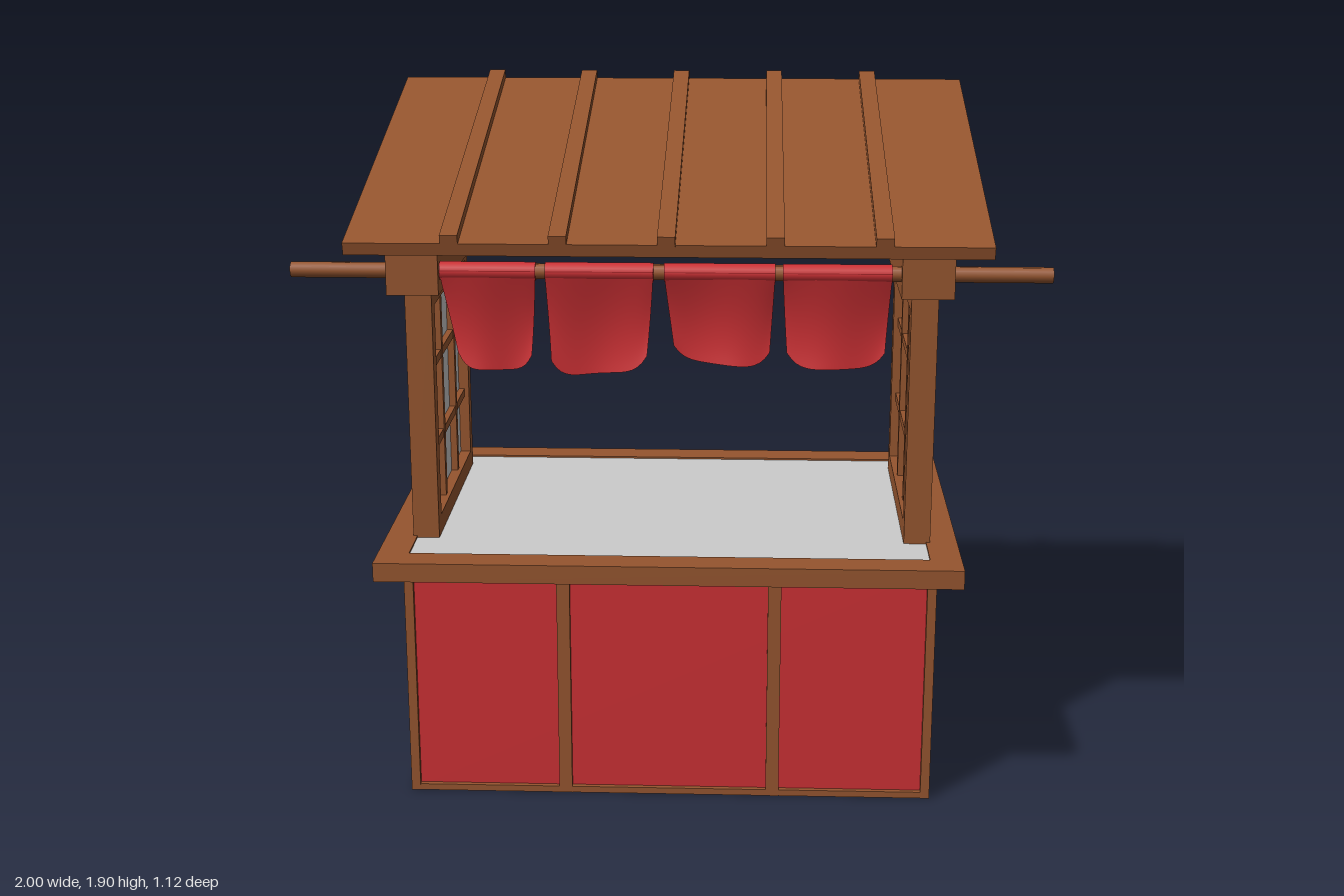
import * as THREE from 'three';

const wood = new THREE.MeshStandardMaterial({ color: 0x95552f });
const red = new THREE.MeshStandardMaterial({ color: 0xcb3034 });
const cloth = new THREE.MeshStandardMaterial({ color: 0xcb3034, side: THREE.DoubleSide });
const grey = new THREE.MeshStandardMaterial({ color: 0xcccccc });

// Box given by its limits on each axis
function box(parent, name, material, [x0, x1], [y0, y1], [z0, z1]) {
  const mesh = new THREE.Mesh(new THREE.BoxGeometry(x1 - x0, y1 - y0, z1 - z0), material);
  mesh.position.set((x0 + x1) / 2, (y0 + y1) / 2, (z0 + z1) / 2);
  mesh.name = name;
  parent.add(mesh);
  return mesh;
}

function group(parent, name) {
  const g = new THREE.Group();
  g.name = name;
  parent.add(g);
  return g;
}

function rod(parent, name, material, radius, x0, x1, sides) {
  const geometry = new THREE.CylinderGeometry(radius, radius, x1 - x0, sides);
  geometry.rotateZ(Math.PI / 2);
  const mesh = new THREE.Mesh(geometry, material);
  mesh.position.set((x0 + x1) / 2, 1.48, 0.383);
  mesh.name = name;
  parent.add(mesh);
}

// Red cabinet with a thin wooden frame
function buildBase(parent) {
  const g = group(parent, 'base');
  const X = 0.725, F = 0.435, B = -0.455, H = 0.67, w = 0.025;
  box(g, 'cabinet', red, [-X + 0.015, X - 0.015], [0.002, H], [B + 0.015, F - 0.015]);
  for (const x of [-X, X - w])
    for (const z of [B, F - w]) box(g, 'cornerTrim', wood, [x, x + w], [0, H], [z, z + w]);
  for (const [y0, y1] of [[0, 0.018], [H - 0.018, H]]) {
    for (const z of [B, F - 0.018]) box(g, 'longTrim', wood, [-X, X], [y0, y1], [z + 0.001, z + 0.017]);
    for (const x of [-X, X - 0.018]) box(g, 'sideTrim', wood, [x + 0.001, x + 0.017], [y0, y1], [B, F]);
  }
  for (const x of [-0.29, 0.287])
    for (const z of [B, F - 0.02]) box(g, 'divider', wood, [x - 0.018, x + 0.018], [0, H], [z, z + 0.02]);
}

// Wooden rim around a grey worktop
function buildCounter(parent) {
  const g = group(parent, 'counter');
  const X = 0.785, F = 0.56, B = -0.51, w = 0.085, y = [0.67, 0.722];
  box(g, 'rimFront', wood, [-X, X], y, [F - w, F]);
  box(g, 'rimBack', wood, [-X, X], y, [B, B + w]);
  for (const x of [-X, X - w]) box(g, 'rimSide', wood, [x, x + w], y, [B + w, F - w]);
  box(g, 'worktop', grey, [-X + w, X - w], [0.672, 0.717], [B + w, F - w]);
}

// Lattice window wall with its beam and roof supports; s is the side
function buildSideWall(parent, s) {
  const g = group(parent, s > 0 ? 'leftWall' : 'rightWall');
  const cx = s * 0.675;
  const across = (h) => [cx - h, cx + h];
  box(g, 'frontPost', wood, across(0.036), [0.715, 1.43], [0.285, 0.335]);
  box(g, 'backPost', wood, across(0.036), [0.715, 1.43], [-0.355, -0.31]);
  box(g, 'bottomRail', wood, across(0.036), [0.715, 0.77], [-0.31, 0.285]);
  box(g, 'topRail', wood, across(0.036), [1.365, 1.43], [-0.31, 0.285]);
  for (const z of [0.107, -0.128]) box(g, 'uprightBar', wood, across(0.025), [0.77, 1.365], [z - 0.013, z + 0.013]);
  for (const y of [0.956, 1.187]) box(g, 'crossBar', wood, across(0.023), [y - 0.012, y + 0.012], [-0.31, 0.285]);
  box(g, 'pane', grey, across(0.006), [0.77, 1.365], [-0.31, 0.285]);
  box(g, 'beam', wood, across(0.069), [1.42, 1.54], [-0.44, 0.42]);
  box(g, 'frontRoofPost', wood, across(0.04), [1.53, 1.6], [0.363, 0.405]);
  const strut = box(g, 'rearRoofStrut', wood, across(0.04), [1.53, 1.795], [-0.375, -0.348]);
  strut.rotation.x = 0.36;
}

// Sloping roof slab with battens
function buildRoof(parent) {
  const g = group(parent, 'roof');
  g.position.set(0, 1.698, -0.01);
  g.rotation.x = 0.264;
  box(g, 'roofBoard', wood, [-0.83, 0.83], [0, 0.034], [-0.565, 0.565]);
  for (let i = -2; i <= 2; i++) {
    const x = i * 0.277 - 0.002;
    box(g, 'batten', wood, [x - 0.023, x + 0.023], [0.03, 0.058], [-0.567, 0.567]);
  }
}

// Hanging cloth: a sheet narrowed and rounded towards the hem, gently waved
function buildCloth(parent, [x0, x1, b0, b1, hemLeft, hemRight], i) {
  const g = group(parent, 'cloth');
  rod(g, 'clothLoop', red, 0.025, x0, x1, 12);
  const geometry = new THREE.PlaneGeometry(1, 1, 20, 16);
  const p = geometry.attributes.position;
  for (let k = 0; k < p.count; k++) {
    const u = p.getX(k) + 0.5, t = 0.5 - p.getY(k);
    const left = THREE.MathUtils.lerp(x0, b0, t ** 1.2);
    const right = THREE.MathUtils.lerp(x1, b1, t ** 1.2);
    const hem = THREE.MathUtils.lerp(hemLeft, hemRight, u);
    const drop = (1.485 - hem) * (1 - 0.16 * Math.abs(2 * u - 1) ** 5);
    const z = 0.408 - 0.036 * Math.sin(t * 2.1) + 0.011 * t * Math.sin(u * 6 + i * 1.9);
    p.setXYZ(k, THREE.MathUtils.lerp(left, right, u), 1.485 - drop * t, z);
  }
  geometry.computeVertexNormals();
  const mesh = new THREE.Mesh(geometry, cloth);
  mesh.name = 'clothSheet';
  g.add(mesh);
}

export function createModel() {
  const model = new THREE.Group();
  model.name = 'marketStall';
  buildBase(model);
  buildCounter(model);
  for (const s of [-1, 1]) buildSideWall(model, s);
  buildRoof(model);
  rod(model, 'curtainRod', wood, 0.021, -1, 1, 10);
  const cloths = [
    [-0.605, -0.352, -0.565, -0.368, 1.213, 1.205],
    [-0.327, -0.042, -0.315, -0.06, 1.19, 1.21],
    [-0.014, 0.277, 0.01, 0.265, 1.24, 1.22],
    [0.297, 0.582, 0.31, 0.57, 1.22, 1.22],
  ];
  cloths.forEach((c, i) => buildCloth(model, c, i));
  return model;
}
